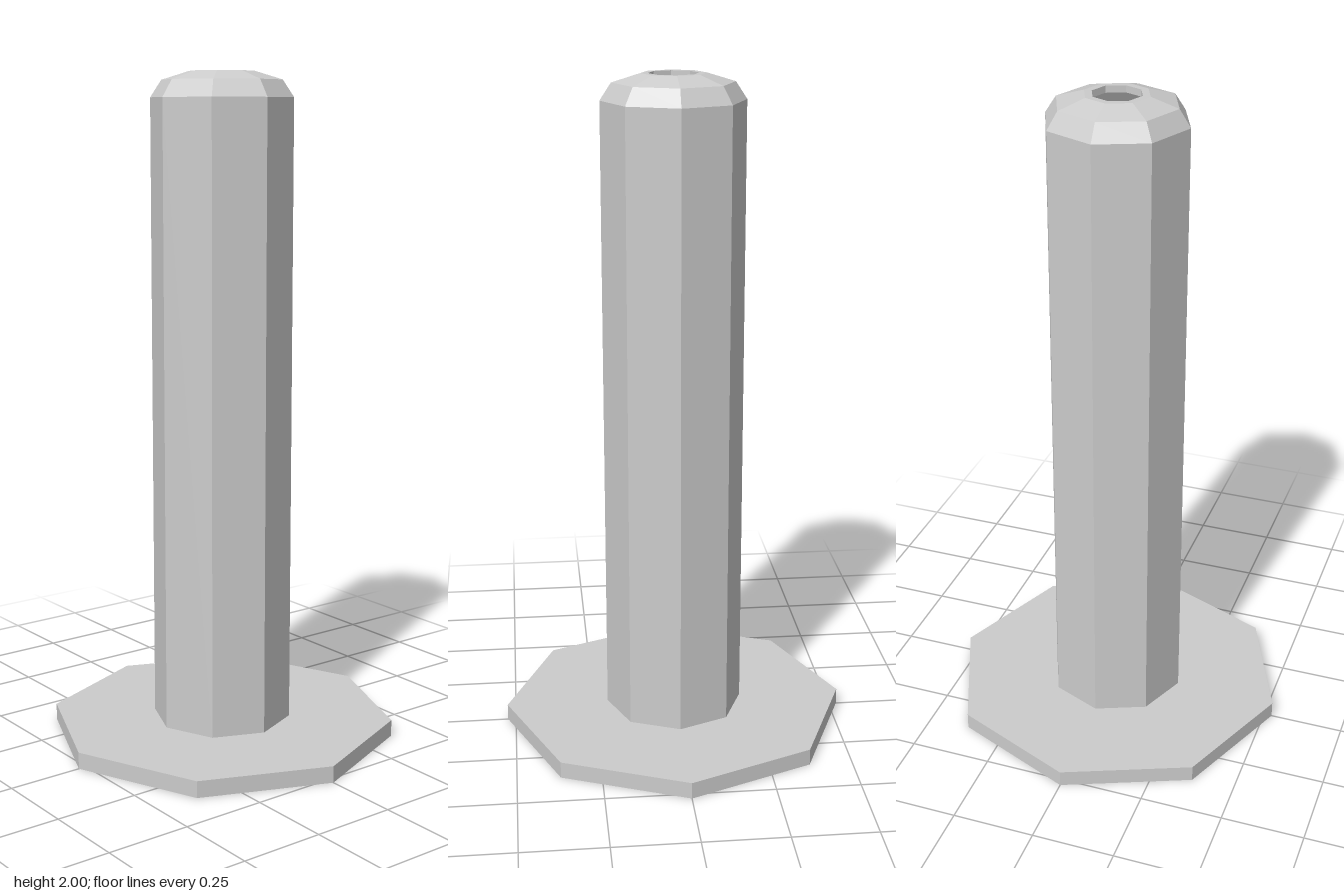
import * as THREE from 'three';

const material = new THREE.MeshStandardMaterial({ color: 0xcccccc, flatShading: true, side: THREE.DoubleSide });

// Eight-sided turned part from [radius, height] pairs
function turned(name, profile) {
  const points = profile.map(([r, y]) => new THREE.Vector2(r, y));
  const mesh = new THREE.Mesh(new THREE.LatheGeometry(points, 8), material);
  mesh.name = name;
  return mesh;
}

export function createModel() {
  const group = new THREE.Group();
  group.name = 'flangedTube';

  // Flat base plate around the open bore
  group.add(turned('baseFlange', [[0.19, 0], [0.525, 0], [0.525, 0.05], [0.21, 0.05]]));

  // Hollow column: up the outside, over the domed rim, down the bore
  group.add(turned('hollowColumn', [
    [0.21, 0.05], [0.21, 1.925], [0.177, 1.975], [0.095, 2], [0.073, 2],
    [0.073, 1.98], [0.165, 1.955], [0.19, 1.915], [0.19, 0],
  ]));

  return group;
}
